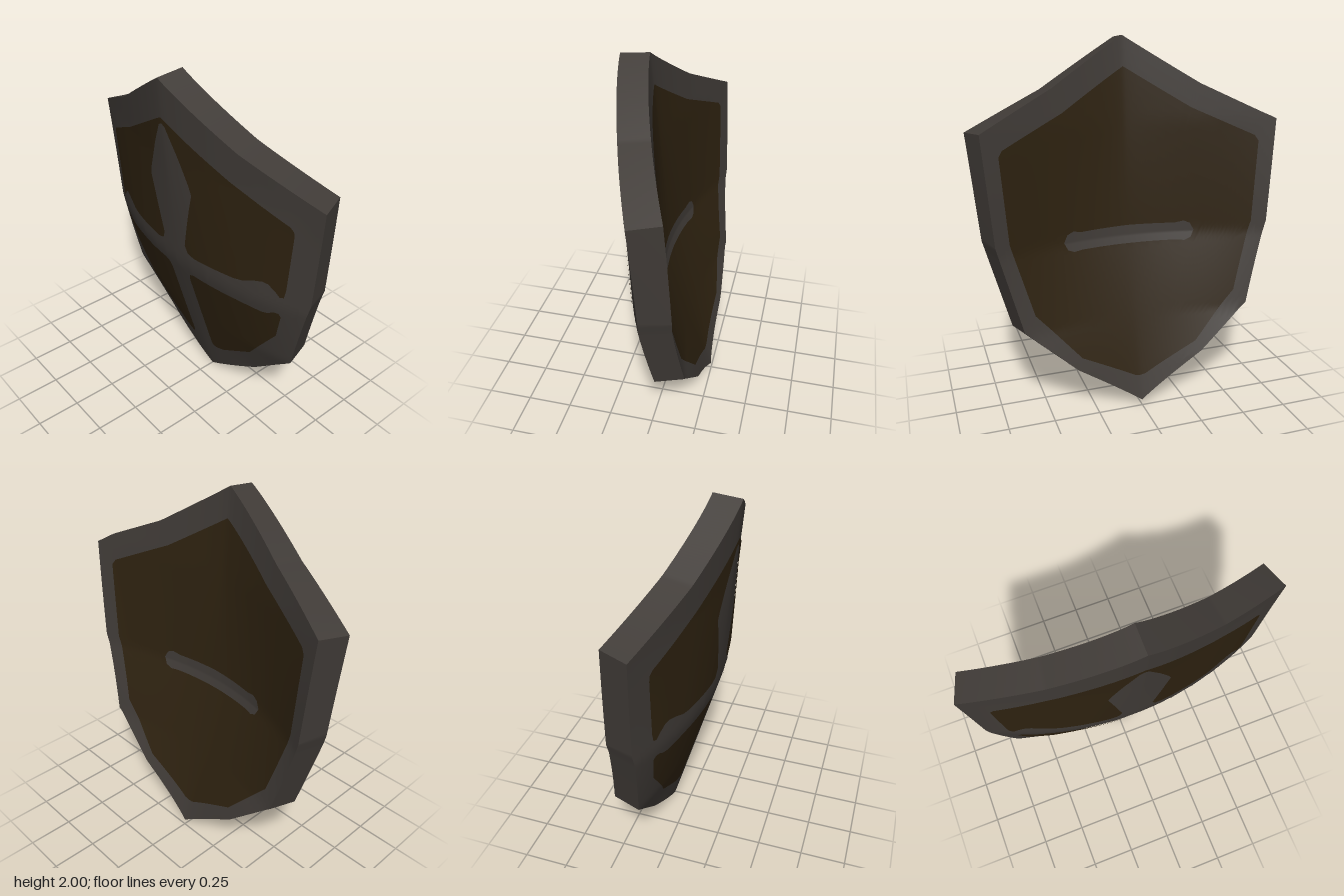
import * as THREE from 'three';
import { mergeVertices, toCreasedNormals } from 'three/addons/utils/BufferGeometryUtils.js';

const steel = new THREE.MeshStandardMaterial({ name: 'dark steel', color: 0x403b37 });
const wood = new THREE.MeshStandardMaterial({ name: 'dark brown', color: 0x2e2210 });

const THICK = 0.152, TAPER = 0.94;

// Curvature by height: y, centre depth, sideways bend, bend power
const BEND = [
  [0, -0.105, 0.28, 1.5], [0.25, -0.032, 0.28, 1.6], [0.5, 0.04, 0.21, 1.7],
  [0.93, 0.165, 0.3, 2], [1.55, 0.221, 0.276, 1.42], [2, 0.261, 0.276, 1.42],
];
function frontZ(x, y) {
  let i = 0;
  while (i < BEND.length - 2 && y > BEND[i + 1][0]) i++;
  const a = BEND[i], b = BEND[i + 1], t = (y - a[0]) / (b[0] - a[0]);
  const [c, k, p] = [1, 2, 3].map(j => a[j] + (b[j] - a[j]) * t);
  return c - k * Math.pow(Math.abs(x), p);
}
const backZ = (x, y) => frontZ(x / TAPER, y) - THICK;

// Right-half outlines, from the top point round to the bottom point
const FRONT = [[0, 1.985], [0.44, 1.73], [0.855, 1.55], [0.805, 0.99], [0.675, 0.51], [0.385, 0.25], [0, 0.003]];
const BACK = [[0, 2], [0.41, 1.748], [0.8, 1.56], [0.757, 0.99], [0.635, 0.525], [0.36, 0.275], [0, 0.035]];
const BACK_PANEL = [[0, 1.84], [0.36, 1.62], [0.69, 1.47], [0.71, 1.44], [0.68, 0.99], [0.57, 0.6], [0.33, 0.33], [0.03, 0.175], [0, 0.17]];
const GRIP = [[0, 0.985], [0.27, 0.98], [0.32, 0.99], [0.355, 0.975], [0.375, 0.935], [0.355, 0.895], [0.32, 0.88], [0.27, 0.885], [0, 0.885]];

// Upper and lower fields between the sword-shaped cross and the border
const UPPER_FIELD = [
  [0, 1.785], [0.03, 1.772], [0.4, 1.57], [0.7, 1.432], [0.718, 1.41], [0.72, 1.38], [0.69, 1.05], [0.68, 1.005],
  [0.66, 1.0], [0.635, 1.03], [0.6, 1.06], [0.57, 1.064], [0.52, 1.05], [0.46, 1.024], [0.41, 1.016],
  [0.15, 1.012], [0.105, 1.026], [0.087, 1.07], [0.115, 1.2], [0.14, 1.31], [0.165, 1.41],
  [0.15, 1.46], [0.085, 1.615], [0.022, 1.742], [0, 1.755],
];
const LOWER_FIELD = [
  [0.66, 0.865], [0.65, 0.885], [0.625, 0.885], [0.59, 0.862], [0.555, 0.855], [0.41, 0.868], [0.12, 0.877],
  [0.088, 0.862], [0.077, 0.82], [0.08, 0.27], [0.09, 0.25], [0.11, 0.245], [0.17, 0.265],
  [0.4, 0.415], [0.5, 0.55], [0.615, 0.7],
];

// Mirrored curved sheet: a half outline is triangulated, refined and laid on a surface
function sheet(points, surface, lift, facing, levels) {
  const contour = points.map(([x, y]) => new THREE.Vector2(x, y));
  if (THREE.ShapeUtils.isClockWise(contour)) contour.reverse();
  const out = [];
  const put = (side, ...vs) => vs.forEach(v => out.push(side * v.x, v.y, surface(v.x, v.y) + lift * facing));
  const split = (a, b, c, n) => {
    if (n === 0) {
      for (const side of [1, -1]) side * facing > 0 ? put(side, a, b, c) : put(side, a, c, b);
      return;
    }
    const mid = (p, q) => p.clone().add(q).multiplyScalar(0.5);
    const ab = mid(a, b), bc = mid(b, c), ca = mid(c, a);
    split(a, ab, ca, n - 1);
    split(ab, b, bc, n - 1);
    split(ca, bc, c, n - 1);
    split(ab, bc, ca, n - 1);
  };
  for (const [i, j, k] of THREE.ShapeUtils.triangulateShape(contour, [])) split(contour[i], contour[j], contour[k], levels);
  const geometry = new THREE.BufferGeometry();
  geometry.setAttribute('position', new THREE.Float32BufferAttribute(out, 3));
  const merged = mergeVertices(geometry, 1e-5);
  merged.computeVertexNormals();
  return merged;
}

// Edge band joining the front outline to the narrower back outline
function rim(steps) {
  const out = [];
  const at = (line, i, t, surface) => {
    const x = THREE.MathUtils.lerp(line[i][0], line[i + 1][0], t);
    const y = THREE.MathUtils.lerp(line[i][1], line[i + 1][1], t);
    return [x, y, surface(x, y)];
  };
  for (let i = 0; i < FRONT.length - 1; i++) {
    for (let s = 0; s < steps; s++) {
      const t = s / steps, u = (s + 1) / steps;
      const a = at(FRONT, i, t, frontZ), b = at(FRONT, i, u, frontZ);
      const c = at(BACK, i, u, backZ), d = at(BACK, i, t, backZ);
      for (const v of [a, b, c, a, c, d]) out.push(...v);
      for (const v of [a, c, b, a, d, c]) out.push(-v[0], v[1], v[2]);
    }
  }
  const geometry = new THREE.BufferGeometry();
  geometry.setAttribute('position', new THREE.Float32BufferAttribute(out, 3));
  return toCreasedNormals(geometry, 0.2);
}

export function createModel() {
  const model = new THREE.Group();
  model.name = 'shield';
  const add = (name, geometry, material) => {
    const mesh = new THREE.Mesh(geometry, material);
    mesh.name = name;
    model.add(mesh);
  };

  // Curved metal body
  add('frontFace', sheet(FRONT, frontZ, 0, 1, 5), steel);
  add('backFace', sheet(BACK, backZ, 0, -1, 5), steel);
  add('rim', rim(32), steel);

  // Painted fields that leave the cross and border showing
  add('upperFields', sheet(UPPER_FIELD, frontZ, 0.005, 1, 4), wood);
  add('lowerFields', sheet(LOWER_FIELD, frontZ, 0.005, 1, 4), wood);

  // Back lining and grip
  add('backLining', sheet(BACK_PANEL, backZ, 0.004, -1, 5), wood);
  add('grip', sheet(GRIP, backZ, 0.008, -1, 4), steel);

  return model;
}
